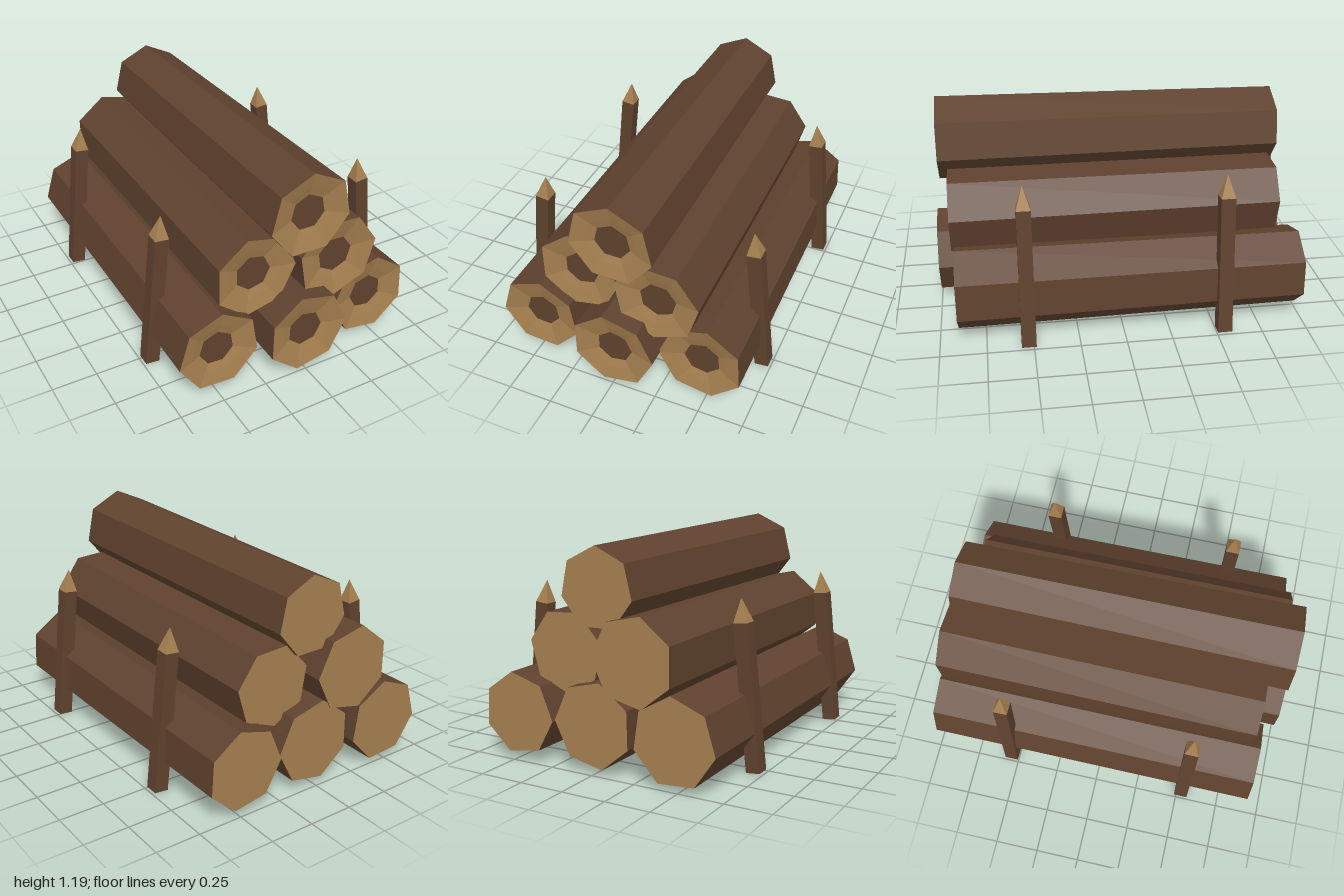
import * as THREE from 'three';

const SIDES = 7;
const bark = new THREE.MeshStandardMaterial({ color: 0x5f422e });
bark.name = 'bark';
const cutWood = new THREE.MeshStandardMaterial({ color: 0xa57f4f });
cutWood.name = 'cutWood';

// Faceted skin through a series of seven-sided rings { x, y, z, r }
function loft(rings, phase) {
  const pos = [];
  const point = (ring, i) => {
    const a = phase + (i / SIDES) * Math.PI * 2;
    return [ring.x + Math.cos(a) * ring.r, ring.y + Math.sin(a) * ring.r, ring.z];
  };
  for (let k = 0; k < rings.length - 1; k++) {
    const a = rings[k], b = rings[k + 1];
    for (let i = 0; i < SIDES; i++) {
      if (a.r > 0) pos.push(...point(a, i), ...point(a, i + 1), ...point(b, i + 1));
      if (b.r > 0) pos.push(...point(a, i), ...point(b, i + 1), ...point(b, i));
    }
  }
  const g = new THREE.BufferGeometry();
  g.setAttribute('position', new THREE.Float32BufferAttribute(pos, 3));
  g.computeVertexNormals();
  return g;
}

function addMesh(parent, name, geometry, material) {
  const m = new THREE.Mesh(geometry, material);
  m.name = name;
  parent.add(m);
  return m;
}

// Log with flat back cut, dished front cut and dark heart
function makeLog({ name, x, y, r, phase, front, back, taper = 1, dx = 0, dy = 0 }) {
  const log = new THREE.Group();
  log.name = name;
  const p = THREE.MathUtils.degToRad(phase);
  const f = (scale, depth) => ({ x, y, z: front - depth, r: r * scale });
  const b = (scale) => ({ x: x + dx, y: y + dy, z: back, r: r * taper * scale });
  addMesh(log, 'barkSides', loft([b(1), f(1, 0)], p), bark);
  addMesh(log, 'backCut', loft([b(0), b(1)], p), cutWood);
  addMesh(log, 'frontCut', loft([f(1, 0), f(0.65, 0.02), f(0.43, 0.035)], p), cutWood);
  addMesh(log, 'heart', loft([f(0.43, 0.035), f(0, 0.035)], p), bark);
  return log;
}

const flat = (g) => {
  const n = g.toNonIndexed();
  n.computeVertexNormals();
  return n;
};

// Square stake with a sharpened tip, leaning in over the pile
function makeStake(side, z, name) {
  const stake = new THREE.Group();
  stake.name = name;
  const R = 0.039 * Math.SQRT2, H = 0.772, T = 0.125;
  const shaft = new THREE.CylinderGeometry(R, R, H, 4).rotateY(Math.PI / 4).translate(0, H / 2, 0);
  const tip = new THREE.ConeGeometry(R, T, 4, 1, true).rotateY(Math.PI / 4).translate(0, H + T / 2, 0);
  addMesh(stake, 'shaft', flat(shaft), bark);
  addMesh(stake, 'tip', flat(tip), cutWood);
  stake.position.set(side * 0.7, 0.004, z);
  stake.rotation.z = side * 0.106;
  return stake;
}

export function createModel() {
  const model = new THREE.Group();
  model.name = 'logPile';

  // Three logs below, two in the middle, one on top
  const logs = [
    { name: 'bottomRightLog', x: -0.48, y: 0.255, r: 0.233, phase: 86, front: 0.915, back: -1, dx: 0.004, dy: -0.007 },
    { name: 'bottomMiddleLog', x: 0.003, y: 0.25, r: 0.237, phase: -1, front: 1, back: -0.98, taper: 0.98, dx: 0.004, dy: 0.006 },
    { name: 'bottomLeftLog', x: 0.467, y: 0.257, r: 0.238, phase: 80.5, front: 0.9, back: -0.995, taper: 0.94 },
    { name: 'middleRightLog', x: -0.24, y: 0.607, r: 0.237, phase: 0, front: 0.86, back: -0.985, dx: 0.006, dy: 0.004 },
    { name: 'middleLeftLog', x: 0.225, y: 0.6, r: 0.241, phase: 9.5, front: 0.915, back: -0.895, taper: 0.93 },
    { name: 'topLog', x: 0.007, y: 0.953, r: 0.235, phase: 89, front: 0.963, back: -0.925, taper: 0.92, dy: -0.01 },
  ];
  for (const l of logs) model.add(makeLog(l));

  // Two stakes on each side
  for (const side of [1, -1]) {
    const label = side > 0 ? 'left' : 'right';
    model.add(makeStake(side, 0.527, label + 'FrontStake'));
    model.add(makeStake(side, -0.543, label + 'BackStake'));
  }
  return model;
}
